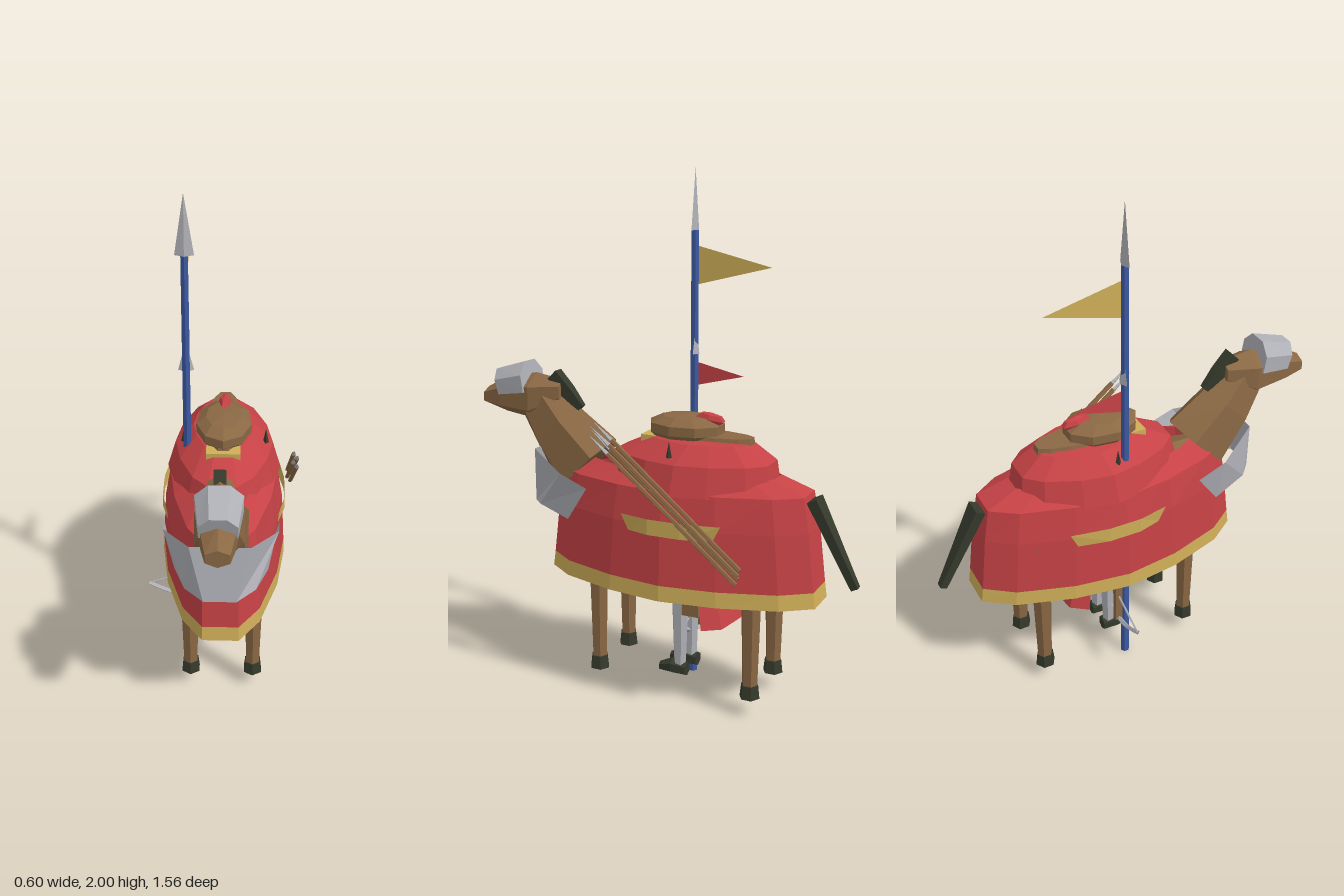
import * as THREE from 'three';

const mat = (name, color) => Object.assign(
  new THREE.MeshStandardMaterial({ color, flatShading: true, side: THREE.DoubleSide }), { name });

// Skin between rings of [x, y, z]; rings run counter-clockwise about the loft direction
function loft(rings, { caps = true, closed = true } = {}) {
  const v = [], n = rings[0].length;
  for (let k = 0; k < rings.length - 1; k++) {
    for (let i = 0; i < (closed ? n : n - 1); i++) {
      const j = (i + 1) % n, [a, b, c, d] = [rings[k][i], rings[k][j], rings[k + 1][j], rings[k + 1][i]];
      v.push(...a, ...b, ...c, ...a, ...c, ...d);
    }
  }
  if (caps && closed) {
    const s = rings[0], e = rings[rings.length - 1];
    for (let i = 1; i < n - 1; i++) v.push(...s[0], ...s[i + 1], ...s[i], ...e[0], ...e[i], ...e[i + 1]);
  }
  const g = new THREE.BufferGeometry();
  g.setAttribute('position', new THREE.Float32BufferAttribute(v, 3));
  g.computeVertexNormals();
  return g;
}

// Boat-shaped horizontal ring for the cloth
const HALF = [[0.28, 1], [0.6, 0.8], [0.88, 0.4], [1, 0], [0.88, -0.4], [0.6, -0.8], [0.28, -1]];
const PLAN = [...HALF, ...HALF.map(([x, z]) => [-x, z]).reverse()];
const boat = (y, hx, hz, cz = -0.088) => PLAN.map(([x, z]) => [x * hx, y, cz + z * hz]);

// Section across the body line, tilted up from +z by an angle
function section(z, y, hx, hn, tilt = 0, sides = 6) {
  return Array.from({ length: sides }, (_, i) => {
    const t = ((i + 0.5) / sides) * Math.PI * 2;
    const k = 1 / Math.cos(Math.PI / sides);
    const q = sides === 4 ? Math.SQRT2 : k;
    const a = Math.cos(t) * hx * q, b = Math.sin(t) * hn * (sides === 4 ? q : 1);
    return [a, y + b * Math.cos(tilt), z - b * Math.sin(tilt)];
  });
}

export function createModel() {
  const red = mat('red cloth', 0xc64245), gold = mat('gold', 0xcfae58), brown = mat('brown', 0x8a6844);
  const dark = mat('dark hoof', 0x353a2c), steel = mat('steel', 0xb0b1b7), blue = mat('blue', 0x3c58a0);
  const model = new THREE.Group();
  const rider = new THREE.Group(), horse = new THREE.Group();
  rider.name = 'rider';
  horse.name = 'horse';
  horse.position.x = rider.position.x = 0.013;
  model.add(horse, rider);
  const add = (parent, name, geometry, material, x = 0, y = 0, z = 0) => {
    const m = new THREE.Mesh(geometry, material);
    m.name = name;
    m.position.set(x, y, z);
    parent.add(m);
    return m;
  };

  // Draped cloth: hem, skirt and raised upper cover
  add(horse, 'goldHem', loft([boat(0.44, 0.247, 0.548), boat(0.5, 0.244, 0.54)], { caps: false }), gold);
  add(horse, 'skirt', loft([boat(0.5, 0.244, 0.54), boat(0.72, 0.232, 0.515), boat(0.85, 0.21, 0.492),
    boat(0.9, 0.14, 0.37)], { caps: false }), red);
  add(horse, 'upperCover', loft([boat(0.84, 0.222, 0.33, -0.12), boat(0.95, 0.19, 0.31, -0.125),
    boat(1.015, 0.12, 0.2, -0.15), boat(1.025, 0.05, 0.15, -0.15)], { caps: false }), red);
  for (const s of [-1, 1]) {
    const strip = (y, e) => [[s * 0.215, y, 0.08 - e], [s * 0.241, y, -0.04], [s * 0.241, y, -0.17],
      [s * 0.215, y, -0.32 + e]];
    add(horse, 'sideStripe', loft([strip(0.69, 0.03), strip(0.75, 0)], { closed: false }), gold);
  }

  // Horse body, legs and hooves
  add(horse, 'body', loft([section(-0.5, 0.76, 0.06, 0.06), section(-0.38, 0.75, 0.14, 0.12),
    section(0.2, 0.75, 0.14, 0.12), section(0.36, 0.78, 0.08, 0.09)]), brown);
  for (const x of [-0.125, 0.125]) for (const z of [0.225, -0.41]) {
    add(horse, 'leg', new THREE.CylinderGeometry(0.045, 0.03, 0.56, 6), brown, x, 0.4, z);
    add(horse, 'hoof', new THREE.CylinderGeometry(0.034, 0.04, 0.052, 6), dark, x, 0.096, z);
  }

  // Neck, head, mane and tail
  const up = Math.PI / 4;
  add(horse, 'neck', loft([section(0.33, 0.85, 0.1, 0.17, up), section(0.46, 0.99, 0.085, 0.13, up),
    section(0.555, 1.105, 0.055, 0.1, up)]), brown);
  add(horse, 'head', loft([section(0.44, 1.14, 0.04, 0.045), section(0.56, 1.11, 0.075, 0.095),
    section(0.7, 1.105, 0.06, 0.07), section(0.785, 1.095, 0.042, 0.035)]), brown);
  add(horse, 'mane', loft([section(0.36, 1.08, 0.012, 0.015, up, 4), section(0.42, 1.14, 0.02, 0.025, up, 4),
    section(0.48, 1.205, 0.022, 0.025, up, 4)]), dark);
  add(horse, 'tail', loft([section(-0.765, 0.515, 0.015, 0.014, 1.1, 4), section(-0.6, 0.835, 0.038, 0.02, 1.1, 4)]), dark);

  // Head plate and wrapped breastplate
  const arch = (z0, y0, z1, y1, w) => [[w, 0], [w, 0.6], [w * 0.45, 1], [-w * 0.45, 1], [-w, 0.6], [-w, 0]]
    .map(([x, t]) => [x, y0 + (y1 - y0) * t, z0 + (z1 - z0) * t]);
  add(horse, 'headPlate', loft([arch(0.575, 1.135, 0.592, 1.25, 0.083), arch(0.7, 1.115, 0.728, 1.21, 0.066)]), steel);
  const wrap = (pts) => [...pts.map(([x, y, z]) => [-x, y, z]), ...[...pts].reverse()];
  add(horse, 'breastplate', loft([
    wrap([[0.175, 0.68, 0.33], [0.13, 0.71, 0.48], [0.06, 0.7, 0.54]]),
    wrap([[0.215, 0.825, 0.225], [0.212, 0.87, 0.34], [0.11, 0.925, 0.51]]),
  ], { closed: false }), steel);

  // Saddle showing around the hat
  add(horse, 'saddle', loft([boat(0.98, 0.085, 0.21, -0.15), boat(1.035, 0.07, 0.2, -0.155)]), brown);
  add(horse, 'saddleTrim', new THREE.BoxGeometry(0.13, 0.03, 0.06), gold, 0, 1.005, 0.04);

  // Wide hat with a feather
  const hat = add(rider, 'hat', new THREE.LatheGeometry([[0, 1.02], [0.095, 1.02], [0.108, 1.035], [0.108, 1.07],
    [0.07, 1.095], [0, 1.103]].map(([x, y]) => new THREE.Vector2(x, y)), 9), brown, 0, 0, -0.09);
  hat.scale.z = 1.38;
  const feather = add(rider, 'feather', new THREE.SphereGeometry(1, 6, 4), red, 0.002, 1.092, -0.19);
  feather.scale.set(0.026, 0.024, 0.062);
  feather.rotation.x = -0.15;
  for (const x of [-0.155, 0.162]) add(rider, 'pin', new THREE.ConeGeometry(0.012, 0.06, 4), dark, x, 1, -0.093);

  // Rider's torso, tunic, legs, boots and cape
  add(rider, 'torso', new THREE.CylinderGeometry(0.1, 0.08, 0.4, 8), steel, 0, 0.76, -0.09);
  add(rider, 'tunic', new THREE.CylinderGeometry(0.08, 0.095, 0.15, 8), blue, 0, 0.51, -0.09);
  add(rider, 'tunicTrim', new THREE.CylinderGeometry(0.096, 0.1, 0.02, 8), gold, 0, 0.43, -0.09);
  for (const x of [-0.052, 0.052]) {
    add(rider, 'riderLeg', new THREE.CylinderGeometry(0.037, 0.024, 0.34, 6), steel, x, 0.27, -0.09);
    add(rider, 'boot', loft([section(-0.12, 0.095, 0.025, 0.028), section(-0.06, 0.1, 0.03, 0.033),
      section(-0.005, 0.088, 0.015, 0.018)]), dark, x);
  }
  const capeRing = (y, w, z0, z1) => [[w * 0.6, y, z0], [w, y, z0 - 0.02], [w * 0.75, y, z1 + 0.02], [0, y, z1],
    [-w * 0.75, y, z1 + 0.02], [-w, y, z0 - 0.02], [-w * 0.6, y, z0]];
  add(rider, 'cape', loft([capeRing(0.325, 0.185, -0.215, -0.32), capeRing(0.7, 0.12, -0.16, -0.22)]), red);
  add(rider, 'pouch', new THREE.BoxGeometry(0.06, 0.16, 0.07), brown, 0.1, 0.43, -0.165);

  // Lance with steel point and two pennants
  const lance = new THREE.Group();
  lance.name = 'lance';
  lance.position.set(-0.128, 0, -0.058);
  model.add(lance);
  add(lance, 'shaft', new THREE.CylinderGeometry(0.015, 0.019, 1.77, 6), blue, 0, 0.885, 0);
  add(lance, 'lanceTip', new THREE.ConeGeometry(1, 0.23, 4), steel, 0, 1.885, 0).scale.set(0.035, 1, 0.014);
  add(lance, 'smallTip', new THREE.ConeGeometry(1, 0.12, 4), steel, 0, 1.365, -0.006).scale.set(0.03, 1, 0.014);
  for (const [name, y0, y1, tip, m] of [['upperPennant', 1.565, 1.715, 0.307, gold], ['lowerPennant', 1.18, 1.275, 0.203, red]]) {
    const shape = new THREE.Shape([new THREE.Vector2(0, y0), new THREE.Vector2(tip, (y0 + y1) / 2 + 0.003),
      new THREE.Vector2(0, y1)]);
    add(lance, name, new THREE.ShapeGeometry(shape), m).rotation.y = Math.PI / 2;
  }

  // Crossbow hanging beside the lance
  const bow = new THREE.Group();
  bow.name = 'crossbow';
  bow.position.set(-0.13, 0, -0.09);
  model.add(bow);
  const P = (x, y) => new THREE.Vector3(x, y, 0);
  const limb = new THREE.CatmullRomCurve3([P(-0.17, 0.25), P(-0.09, 0.21), P(0, 0.195), P(0.09, 0.21), P(0.17, 0.25)]);
  add(bow, 'bowLimb', new THREE.TubeGeometry(limb, 8, 0.01, 4), steel);
  for (const s of [-1, 1]) {
    add(bow, 'bowString', new THREE.TubeGeometry(new THREE.LineCurve3(P(s * 0.17, 0.25), P(0, 0.315)), 1, 0.004, 4), steel);
  }
  add(bow, 'bowStock', new THREE.BoxGeometry(0.025, 0.22, 0.03), brown, 0, 0.3, 0);

  // Bundle of javelins along the left side
  const bundle = new THREE.Group();
  bundle.name = 'javelins';
  bundle.position.set(0.282, 0.835, -0.12);
  bundle.rotation.x = Math.atan2(0.6, 0.5);
  model.add(bundle);
  for (let i = 0; i < 4; i++) {
    const x = (i % 2 - 0.5) * 0.013, z = (i - 1.5) * 0.015, y = (1.5 - i) * 0.008;
    add(bundle, 'javelinShaft', new THREE.CylinderGeometry(0.009, 0.009, 0.66, 5), brown, x, y - 0.05, z);
    add(bundle, 'javelinTip', new THREE.ConeGeometry(0.009, 0.1, 4), steel, x, y + 0.33, z);
  }
  return model;
}
